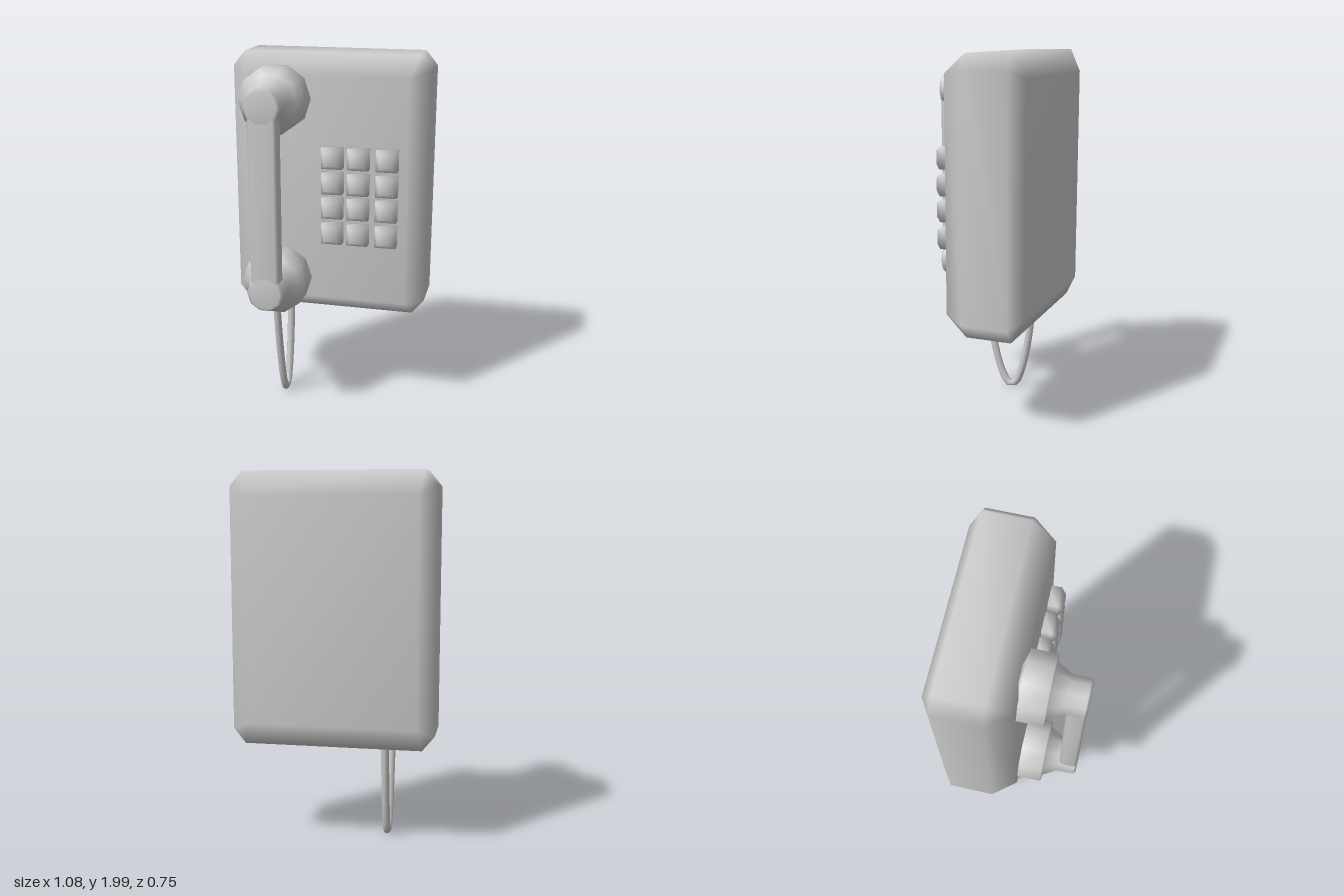
import * as THREE from 'three';
import { mergeVertices } from 'three/addons/utils/BufferGeometryUtils.js';

const material = new THREE.MeshStandardMaterial({ color: 0xcccccc });

function part(name, geometry) {
  const mesh = new THREE.Mesh(geometry, material);
  mesh.name = name;
  return mesh;
}

// Counter-clockwise rectangle with corners cut by cx, cy, at height z
function octagon(w, h, cx, cy, z) {
  return [[w, -h + cy], [w, h - cy], [w - cx, h], [-w + cx, h],
    [-w, h - cy], [-w, -h + cy], [-w + cx, -h], [w - cx, -h]].map(([x, y]) => [x, y, z]);
}

// Smooth skin over equal loops ordered from low z to high z
function loft(loops, caps = true) {
  const n = loops[0].length, last = (loops.length - 1) * n, index = [];
  for (let i = 0; i < loops.length - 1; i++) {
    for (let j = 0; j < n; j++) {
      const k = (j + 1) % n, a = i * n + j, b = i * n + k;
      index.push(a, b, b + n, a, b + n, a + n);
    }
  }
  if (caps) {
    for (let j = 1; j < n - 1; j++) {
      index.push(0, j + 1, j, last, last + j, last + j + 1);
    }
  }
  const geometry = new THREE.BufferGeometry();
  geometry.setAttribute('position', new THREE.Float32BufferAttribute(loops.flat(2), 3));
  geometry.setIndex(index);
  const merged = mergeVertices(geometry, 1e-4);
  merged.computeVertexNormals();
  return merged;
}

export function createModel() {
  const phone = new THREE.Group();
  phone.name = 'wallPhone';

  // Wall housing with wide bevels
  const housing = part('housing', loft([
    octagon(0.45, 0.6, 0, 0, -0.37),
    octagon(0.54, 0.72, 0.065, 0.08, -0.31),
    octagon(0.54, 0.72, 0.065, 0.08, -0.065),
    octagon(0.445, 0.62, 0, 0, 0.06),
  ]));
  housing.position.y = 1.28;
  phone.add(housing);

  // Keypad of tapered buttons
  const keypad = new THREE.Group();
  keypad.name = 'keypad';
  const keyGeometry = loft([
    octagon(0.057, 0.057, 0, 0, 0.04),
    octagon(0.057, 0.057, 0, 0, 0.113),
    octagon(0.034, 0.034, 0, 0, 0.14),
  ]);
  for (const y of [1.053, 1.196, 1.332, 1.471]) {
    for (const x of [0.047, 0.188, 0.342]) {
      const key = part('key', keyGeometry);
      key.position.set(x, y, 0);
      keypad.add(key);
    }
  }
  phone.add(keypad);

  // Handset: two ten-sided cups joined by a grip
  const handset = new THREE.Group();
  handset.name = 'handset';
  handset.position.x = -0.256;
  const profile = [[0, 0.035], [0.13, 0.035], [0.18, 0.06], [0.18, 0.19], [0.145, 0.192],
    [0.1, 0.27], [0.1, 0.362], [0.085, 0.375], [0, 0.375]].map(([r, z]) => new THREE.Vector2(r, z));
  const cupGeometry = new THREE.LatheGeometry(profile, 10, Math.PI / 2).rotateX(Math.PI / 2);
  for (const [name, y] of [['earpiece', 1.775], ['mouthpiece', 0.773]]) {
    const cup = part(name, cupGeometry);
    cup.position.y = y;
    handset.add(cup);
  }
  const grip = part('grip', loft([
    octagon(0.076, 0.049, 0.014, 0.014, 0.773),
    octagon(0.076, 0.049, 0.014, 0.014, 1.775),
  ], false).rotateX(-Math.PI / 2));
  grip.position.z = 0.324;
  handset.add(grip);
  phone.add(handset);

  // Cord hanging from the mouthpiece and back up into the housing
  const cordPath = new THREE.CatmullRomCurve3([
    [0.68, 0.14], [0.56, 0.124], [0.3, 0.077], [0.11, 0.025], [0.04, -0.012], [0.023, -0.035],
    [0.04, -0.068], [0.11, -0.1], [0.3, -0.142], [0.56, -0.17], [0.66, -0.178],
  ].map(([y, z]) => new THREE.Vector3(-0.262, y, z)));
  phone.add(part('cord', new THREE.TubeGeometry(cordPath, 40, 0.022, 8)));

  return phone;
}
